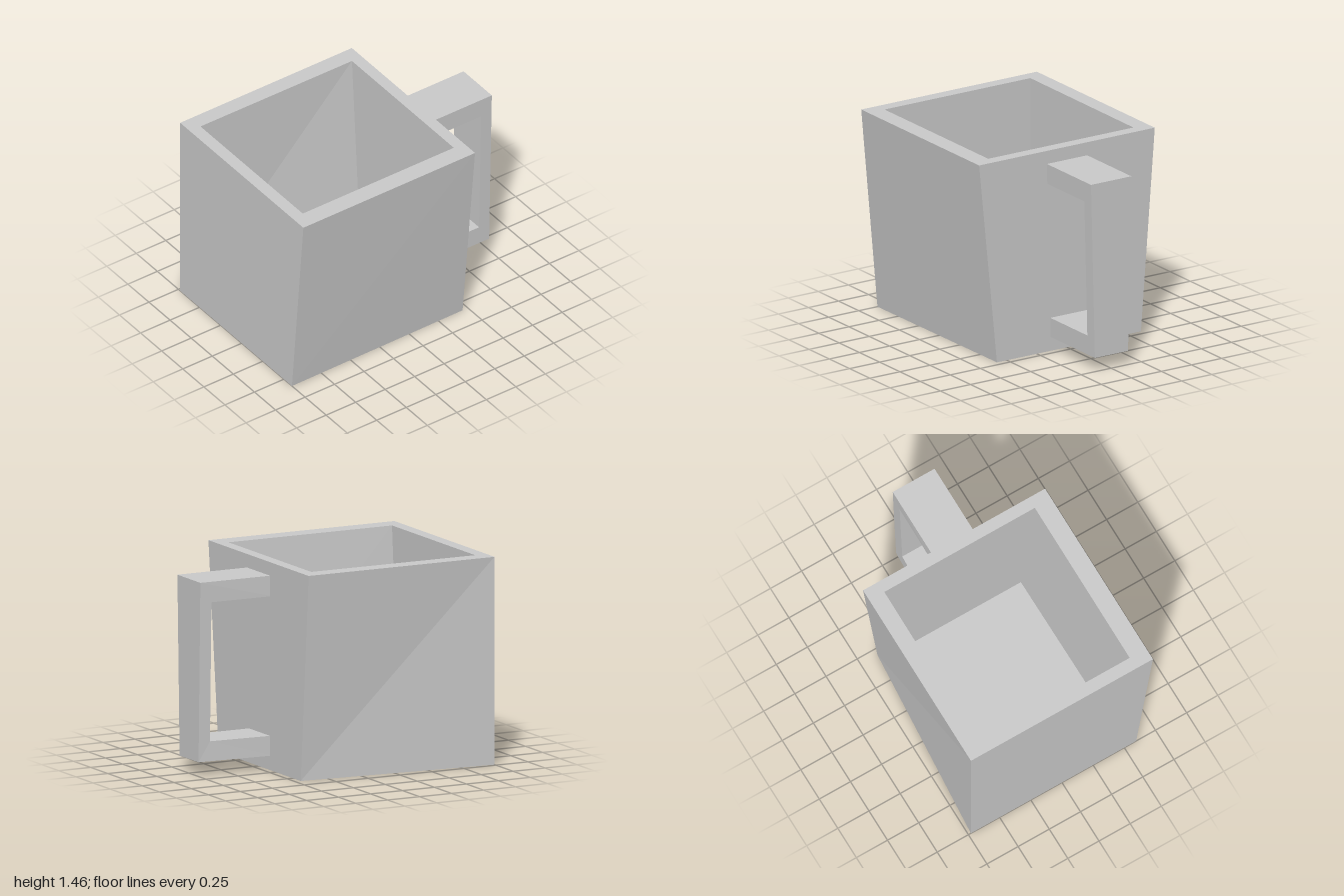
import * as THREE from 'three';

const material = new THREE.MeshStandardMaterial({ color: 0xcccccc, flatShading: true });

// Skins a stack of four-cornered rings and closes both ends
function loft(rings) {
  const positions = [];
  const quad = (a, b, c, d) => positions.push(...a, ...b, ...c, ...a, ...c, ...d);
  for (let r = 0; r < rings.length - 1; r++) {
    const lo = rings[r], hi = rings[r + 1];
    for (let i = 0; i < 4; i++) {
      const j = (i + 1) % 4;
      quad(lo[i], lo[j], hi[j], hi[i]);
    }
  }
  const first = rings[0], last = rings[rings.length - 1];
  quad(first[3], first[2], first[1], first[0]);
  quad(...last);
  const geometry = new THREE.BufferGeometry();
  geometry.setAttribute('position', new THREE.Float32BufferAttribute(positions, 3));
  geometry.computeVertexNormals();
  return geometry;
}

// Ring order: front left, front right, back right, back left (as seen from the front)
function ring(y, x0, x1, frontL, frontR, backR, backL) {
  return [[x0, y, frontL], [x1, y, frontR], [x1, y, backR], [x0, y, backL]];
}

export function createModel() {
  const group = new THREE.Group();

  // Square cup: outer wall, rim, inner wall and floor in one skin;
  // the back wall stays upright at one corner and leans in at the other
  const cup = new THREE.Mesh(loft([
    ring(0, -1, 0.455, 0.595, 0.582, -0.615, -0.73),
    ring(1.46, -1, 0.455, 0.73, 0.73, -0.73, -0.73),
    ring(1.46, -0.91, 0.37, 0.597, 0.597, -0.61, -0.615),
    ring(0.12, -0.91, 0.37, 0.497, 0.485, -0.523, -0.615),
  ]), material);
  cup.name = 'cup';
  group.add(cup);

  // Bracket-shaped handle, seated slightly into the wall
  const outline = new THREE.Shape([
    [0.44, 0.1], [1, 0.1], [1, 1.365], [0.44, 1.365],
    [0.44, 1.22], [0.912, 1.22], [0.912, 0.24], [0.44, 0.24],
  ].map(([x, y]) => new THREE.Vector2(x, y)));
  const geometry = new THREE.ExtrudeGeometry(outline, { depth: 1, bevelEnabled: false });

  // Narrow the handle downward; its back only narrows away from the cup
  const p = geometry.attributes.position;
  for (let i = 0; i < p.count; i++) {
    const drop = (1.365 - p.getY(i)) / 1.265;
    const away = THREE.MathUtils.clamp((p.getX(i) - 0.455) / 0.457, 0, 1);
    p.setZ(i, p.getZ(i) > 0.5 ? 0.167 - 0.032 * drop : -0.168 + 0.027 * drop * away);
  }
  geometry.computeVertexNormals();
  const handle = new THREE.Mesh(geometry, material);
  handle.name = 'handle';
  group.add(handle);

  return group;
}
